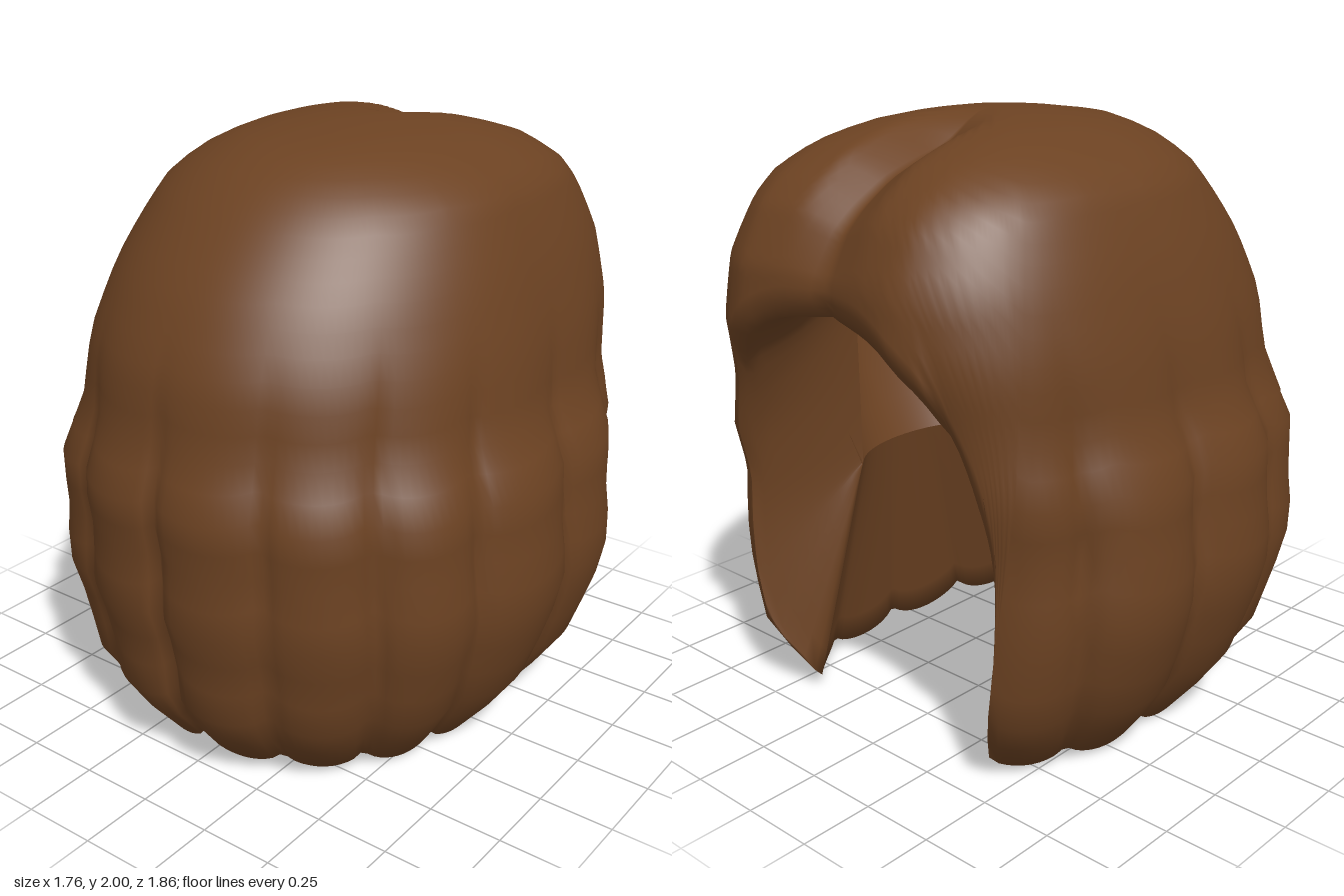
import * as THREE from 'three';

// Horizontal sections: [y, half width, back z, front z]
const SECTIONS = [
  [0, 0.61, 0.69, 0.65], [0.06, 0.665, 0.745, 0.71], [0.24, 0.77, 0.865, 0.8], [0.45, 0.85, 0.88, 0.8],
  [0.62, 0.89, 0.93, 0.79], [0.8, 0.865, 0.92, 0.79], [0.97, 0.855, 0.945, 0.84], [1.15, 0.77, 0.875, 0.87],
  [1.37, 0.735, 0.845, 0.91], [1.58, 0.675, 0.74, 0.895], [1.75, 0.605, 0.6, 0.82], [1.82, 0.57, 0.53, 0.755],
  [1.9, 0.46, 0.42, 0.64], [1.96, 0.32, 0.27, 0.47], [1.985, 0.2, 0.07, 0.34], [2, 0, -0.15, 0.15],
];
// Edge of the face opening, from the lock tip up to the parting: [degrees from the back, y]
const OPENING = [[147, 0.07], [145, 0.3], [144, 0.7], [147, 1.0], [153, 1.25], [164, 1.41], [180, 1.46]];
// Gaps between the hanging locks, in degrees from the middle of the back
const GAPS = [0, 23, 45, 68, 100, 128, 152];

const { smoothstep, lerp, clamp, degToRad } = THREE.MathUtils;

function section(y) {
  let i = 0;
  while (i < SECTIONS.length - 2 && SECTIONS[i + 1][0] < y) i++;
  const a = SECTIONS[i], b = SECTIONS[i + 1];
  const h = (v) => Math.sqrt(Math.max(0, 2 - v)); // keeps the crown round
  const t = clamp((h(y) - h(a[0])) / (h(b[0]) - h(a[0])), 0, 1);
  return [1, 2, 3].map((k) => lerp(a[k], b[k], t));
}

// 0 in a gap between locks, 1 in the middle of a lock
function lobe(deg) {
  const a = Math.abs(deg);
  for (let i = 0; i < GAPS.length - 1; i++) {
    if (a <= GAPS[i + 1]) {
      return Math.sqrt(Math.max(0, Math.sin(Math.PI * (a - GAPS[i]) / (GAPS[i + 1] - GAPS[i]))));
    }
  }
  return 1;
}

// Point on the outside of the hair at an angle and height
function hairPoint(deg, y, scale) {
  const [w, back, front] = section(y);
  const centre = -0.15 * smoothstep(y, 0.9, 2);
  const s = Math.sin(degToRad(deg)), c = Math.cos(degToRad(deg));
  const depth = c > 0 ? back - centre : front / 0.945 + centre;
  const p = c > 0 ? 2.1 : 3;
  let r = w < 1e-4 ? 0 : Math.pow(Math.pow(Math.abs(s) / w, p) + Math.pow(Math.abs(c) / depth, p), -1 / p);
  const strength = lerp(0.055, 0.08, smoothstep(Math.abs(deg), 20, 50));
  r *= scale * (1 - strength * (1 - smoothstep(y, 0.75, 1.55)) * (1 - lobe(deg)));
  const v = new THREE.Vector3(r * s, y, centre + r * c);
  // Parting: a V groove from the crown to the fringe
  const along = smoothstep(-v.z, 0.15, 0.5);
  v.y -= 0.075 * Math.max(0, 1 - Math.abs(v.x) / 0.15) * along * smoothstep(y, 1.4, 1.9);
  v.z += 0.08 * Math.max(0, 1 - Math.abs(v.x) / 0.32) * along;
  return v;
}

// Lip of the hollow for the head: low ring around the nape, rising beside the face
function lipPoint(deg, edgeY) {
  const s = Math.sin(degToRad(deg)), c = Math.cos(degToRad(deg));
  const face = smoothstep(Math.abs(deg), 140, 180);
  const y = 0.8 + 0.76 * smoothstep(edgeY, 0.5, 1.5);
  const x = 0.46 * Math.sign(s) * Math.pow(Math.abs(s), 0.5);
  return new THREE.Vector3(x, y, -0.15 + 0.35 * c - 0.08 * face);
}

// Wall of the hollow from the lip (u = 0) to the inside of the crown (u = 1)
function hollowPoint(lip, deg, u) {
  const bulge = 0.2 + 0.1 * (1 - smoothstep(Math.abs(deg), 95, 135));
  const radius = Math.hypot(lip.x, lip.z + 0.15);
  const k = Math.cos(Math.PI * u / 2) + bulge * Math.sin(Math.PI * u) / radius;
  return new THREE.Vector3(lip.x * k, lerp(lip.y, 1.8, Math.sin(Math.PI * u / 2)), -0.15 + (lip.z + 0.15) * k);
}

// Lower contour of one half: hem from the back to the lock tip, then up the face opening
function halfContour() {
  const pts = [];
  const hemSteps = 73, openSteps = 32;
  for (let i = 0; i < hemSteps; i++) {
    const deg = (147 * i) / hemSteps;
    pts.push([deg, 0.02 + 0.02 * Math.cos(degToRad(deg * 2)) + 0.065 * (1 - lobe(deg))]);
  }
  const edge = new THREE.CatmullRomCurve3(OPENING.map(([d, y]) => new THREE.Vector3(d / 60, y, 0)));
  for (let i = 0; i <= openSteps; i++) {
    const q = edge.getPointAt(i / openSteps);
    pts.push([Math.min(180, q.x * 60), q.y]);
  }
  return pts.map(([deg, y], i) => ({ deg, y: Math.max(0, y), top: (180 * i) / (pts.length - 1) }));
}

function hairGeometry() {
  const half = halfContour();
  const mirrored = half.slice(1, -1).reverse().map((c) => ({ deg: -c.deg, y: c.y, top: -c.top }));
  const columns = [...mirrored, ...half];
  const OUTER = 28, UNDER = 8, HOLLOW = 14, n = columns.length;
  const position = [], index = [];
  const addRow = (point) => columns.forEach((c) => position.push(...point(c).toArray()));

  // Outer surface, crown to hem, with a softly rounded edge
  for (let i = 0; i <= OUTER; i++) {
    const t = i / OUTER;
    const tuck = 1 - 0.04 * smoothstep(t, 0.93, 1);
    addRow((c) => hairPoint(lerp(c.top, c.deg, t), 2 - (2 - c.y) * Math.pow(t, 1.7), tuck));
  }
  // Thick underside, hem to lip
  for (let i = 1; i <= UNDER; i++) {
    const t = i / UNDER;
    addRow((c) => {
      const v = hairPoint(c.deg, c.y, 0.96).lerp(lipPoint(c.deg, c.y), t);
      v.y -= 0.05 * Math.sin(Math.PI * t) * smoothstep(c.y, 1.1, 1.4);
      return v;
    });
  }
  // Hollow for the head, lip to crown; the first row repeats the lip for a crisp edge
  for (let i = 0; i <= HOLLOW; i++) {
    addRow((c) => hollowPoint(lipPoint(c.deg, c.y), c.deg, i / HOLLOW));
  }

  const total = OUTER + UNDER + HOLLOW + 2;
  const lipRow = OUTER + UNDER;
  for (let i = 0; i < total - 1; i++) {
    if (i === lipRow) continue;
    for (let j = 0; j < n; j++) {
      const k = (j + 1) % n;
      const a = i * n + j, b = a + n, d = i * n + k, c = d + n;
      if (i < total - 2) index.push(a, b, c);
      if (i > 0) index.push(a, c, d);
    }
  }
  const geometry = new THREE.BufferGeometry();
  geometry.setAttribute('position', new THREE.Float32BufferAttribute(position, 3));
  geometry.setIndex(index);
  geometry.computeVertexNormals();
  // The crown rows meet in one point, so give them a straight normal
  const normal = geometry.getAttribute('normal');
  for (let j = 0; j < n; j++) {
    normal.setXYZ(j, 0, 1, 0);
    normal.setXYZ((total - 1) * n + j, 0, -1, 0);
  }
  return geometry;
}

export function createModel() {
  const group = new THREE.Group();
  group.name = 'bobHair';
  const material = new THREE.MeshStandardMaterial({ color: 0x6c4222, side: THREE.DoubleSide });
  const hair = new THREE.Mesh(hairGeometry(), material);
  hair.name = 'hairShell';
  group.add(hair);
  return group;
}
